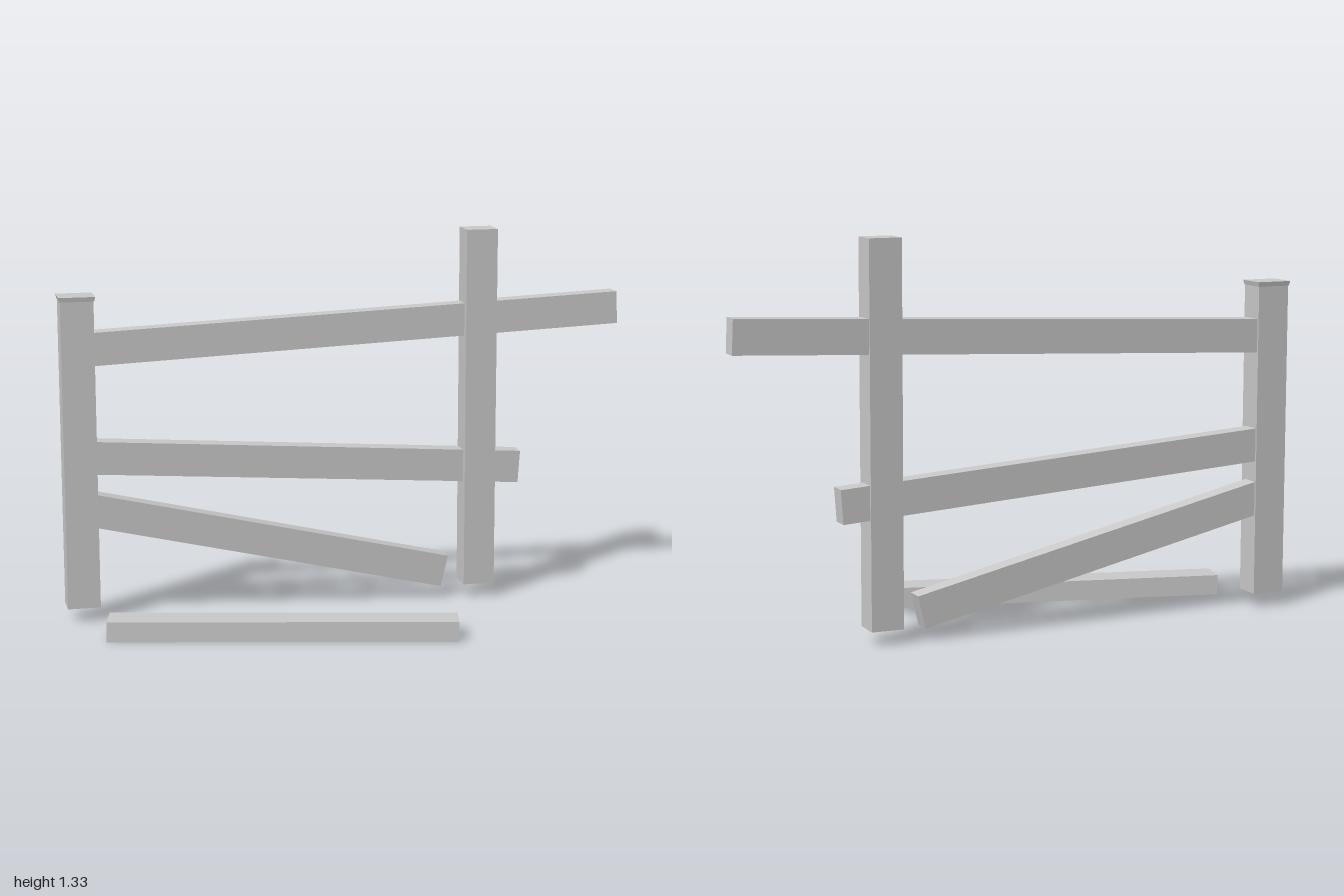
import * as THREE from 'three';

const material = new THREE.MeshStandardMaterial({ color: 0xcccccc, flatShading: true, side: THREE.DoubleSide });

const POST_Z = -0.256;
const RAIL_Z = -0.265;
const RAIL_HEIGHT = 0.115;
const RAIL_DEPTH = 0.066;

export function createModel() {
  const group = new THREE.Group();

  function add(name, geometry, x, y, z) {
    const mesh = new THREE.Mesh(geometry, material);
    mesh.name = name;
    mesh.position.set(x, y, z);
    group.add(mesh);
    return mesh;
  }

  // Square post, hollow underneath
  function addPost(name, x, width, bottom, top) {
    const geometry = new THREE.BoxGeometry(width, top - bottom, 0.098);
    const index = Array.from(geometry.index.array);
    index.splice(18, 6); // drop the bottom face
    geometry.setIndex(index);
    geometry.clearGroups();
    add(name, geometry, x, (bottom + top) / 2, POST_Z);
  }

  // Rail between two points on its centre line
  function addRail(name, x0, y0, x1, y1) {
    const length = Math.hypot(x1 - x0, y1 - y0);
    const geometry = new THREE.BoxGeometry(length, RAIL_HEIGHT, RAIL_DEPTH);
    const rail = add(name, geometry, (x0 + x1) / 2, (y0 + y1) / 2, RAIL_Z);
    rail.rotation.z = Math.atan2(y1 - y0, x1 - x0);
  }

  addPost('shortPost', -0.938, 0.114, 0.05, 1.13);
  addPost('tallPost', 0.484, 0.112, 0.05, 1.333);

  // Thin cap flaring slightly towards its top
  const cap = new THREE.BoxGeometry(0.125, 0.016, 0.106);
  const p = cap.attributes.position;
  for (let i = 0; i < p.count; i++) {
    if (p.getY(i) < 0) p.setXYZ(i, p.getX(i) * 0.94, p.getY(i), p.getZ(i) * 0.95);
  }
  cap.computeVertexNormals();
  add('postCap', cap, -0.9375, 1.134, -0.257);

  // Sagging rails, each set into the short post
  addRail('topRail', -0.92, 0.955, 0.993, 1.037);
  addRail('middleRail', -0.92, 0.579, 0.636, 0.47);
  addRail('fallenRail', -0.92, 0.396, 0.362, 0.098);

  // Loose plank lying on the ground
  const plank = add('groundPlank', new THREE.BoxGeometry(1.192, 0.07, 0.115), -0.298, 0.035, 0.119);
  plank.rotation.y = -Math.atan2(0.263, 1.163);

  return group;
}
